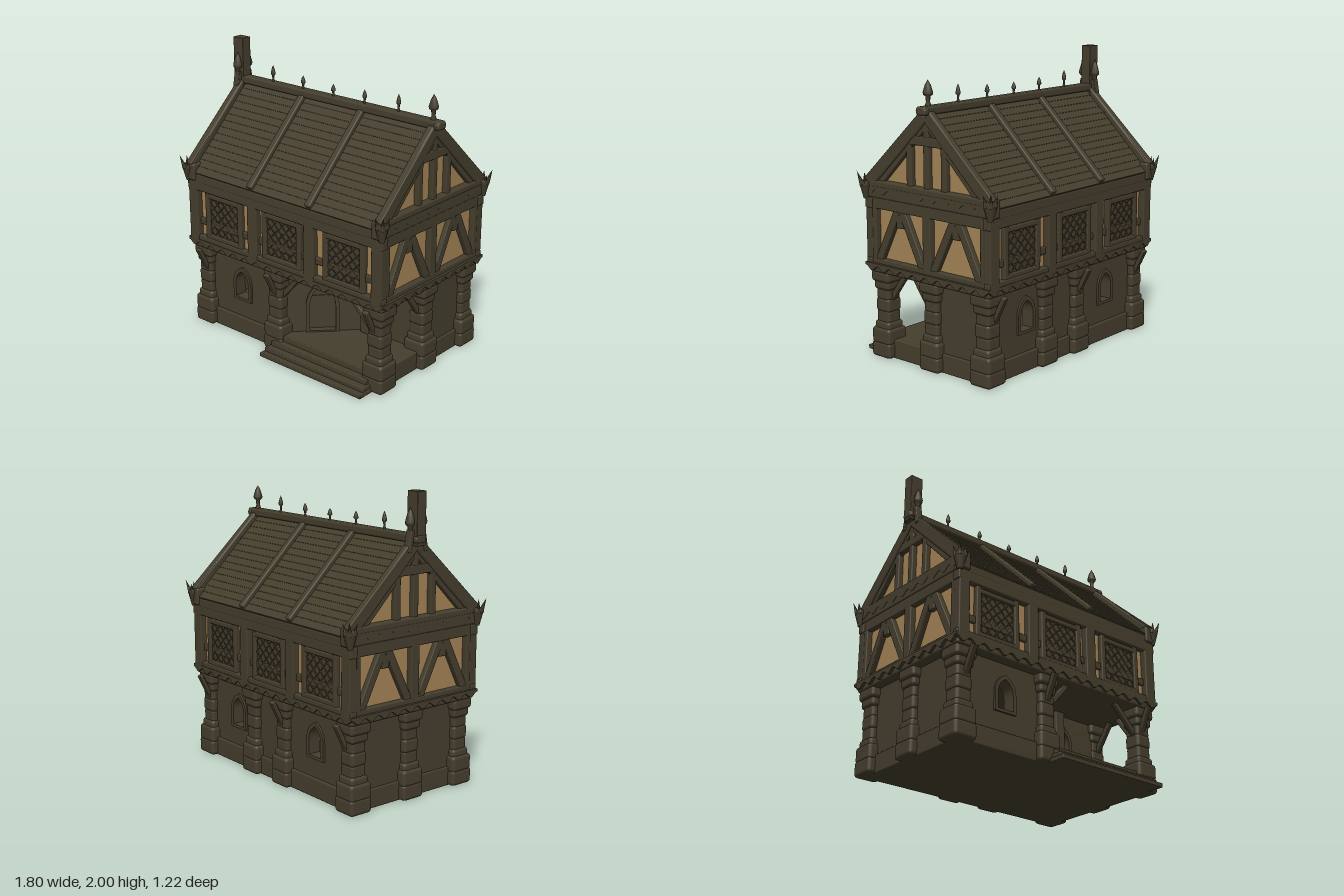
import * as THREE from 'three';
import { RoundedBoxGeometry } from 'three/addons/geometries/RoundedBoxGeometry.js';

const timber = new THREE.MeshStandardMaterial({ color: 0x453e2d });
timber.name = 'dark timber and stone';
const plaster = new THREE.MeshStandardMaterial({ color: 0xa48356 });
plaster.name = 'ochre plaster';

export function createModel() {
  const model = new THREE.Group();
  model.name = 'timberFramedHouse';
  const house = new THREE.Group();
  house.name = 'house';
  house.position.z = -0.025;
  model.add(house);

  const add = (name, geo, mat = timber, x = 0, y = 0, z = 0, parent = house) => {
    const m = new THREE.Mesh(geo, mat);
    m.name = name;
    m.position.set(x, y, z);
    parent.add(m);
    return m;
  };
  const box = (name, w, h, d, x, y, z, r = 0.008) =>
    add(name, new RoundedBoxGeometry(w, h, d, 2, Math.min(r, w / 2.1, h / 2.1, d / 2.1)), timber, x, y, z);
  // beam between two points; w runs along x, d along z before tilting
  const strut = (name, a, b, w, d, r = 0.006) => {
    const p = new THREE.Vector3(...a), q = new THREE.Vector3(...b);
    const dir = q.clone().sub(p), mid = p.clone().add(q).multiplyScalar(0.5);
    const m = box(name, w, dir.length(), d, mid.x, mid.y, mid.z, r);
    m.quaternion.setFromUnitVectors(new THREE.Vector3(0, 1, 0), dir.normalize());
    return m;
  };
  const extrude = (shape, depth) =>
    new THREE.ExtrudeGeometry(shape, { depth, bevelEnabled: false, curveSegments: 8 });
  const arch = (path, c, y, w, h) => {
    const s = y + h * 0.5;
    path.moveTo(c - w / 2, y);
    path.lineTo(c + w / 2, y);
    path.lineTo(c + w / 2, s);
    path.quadraticCurveTo(c + w / 2, y + h * 0.85, c, y + h);
    path.quadraticCurveTo(c - w / 2, y + h * 0.85, c - w / 2, s);
    path.closePath();
    return path;
  };
  // wall turned by an angle, with arched openings and raised surrounds
  const wall = (name, u0, u1, [x, z], angle, openings) => {
    const g = new THREE.Group();
    g.name = name;
    g.position.set(x, 0, z);
    g.rotation.y = angle;
    house.add(g);
    const s = new THREE.Shape([[u0, 0.02], [u1, 0.02], [u1, 0.6], [u0, 0.6]].map(p => new THREE.Vector2(...p)));
    for (const [c, y, w, h] of openings) {
      s.holes.push(arch(new THREE.Path(), c, y, w, h));
      const f = arch(new THREE.Shape(), c, y - 0.02, w + 0.05, h + 0.05);
      f.holes.push(arch(new THREE.Path(), c, y, w, h));
      add('archSurround', extrude(f, 0.09), timber, 0, 0, -0.045, g);
    }
    add('wallPanel', extrude(s, 0.06), timber, 0, 0, -0.03, g);
    return g;
  };

  // ground floor
  box('groundSlab', 1.62, 0.13, 0.96, 0, 0.065, 0);
  const win = x => [x, 0.28, 0.12, 0.2];
  wall('frontWall', -0.78, -0.1, [0, 0.43], 0, [win(-0.43)]);
  wall('backWall', -0.78, 0.78, [0, -0.43], 0, [win(-0.43), win(0.43)]);
  wall('leftEndWall', 0, 0.45, [0.765, 0], Math.PI / 2, []);
  wall('rightEndWall', -0.45, 0.45, [-0.765, 0], Math.PI / 2, []);
  wall('porchBackWall', 0.29, 0.78, [0, 0.02], 0, [win(0.43)]);
  // entrance set across the corner of the porch
  const entrance = wall('porchEntrance', -0.28, 0.28, [0.11, 0.24], Math.PI / 4, [[0, 0.14, 0.18, 0.34]]);
  add('porchDoor', extrude(arch(new THREE.Shape(), 0, 0.13, 0.19, 0.36), 0.02), timber, 0, 0, -0.03, entrance);
  for (const x of [-0.055, 0, 0.055])
    add('doorBoard', new THREE.BoxGeometry(0.045, 0.25, 0.01), timber, x, 0.26, -0.006, entrance);
  box('porchPost', 0.08, 0.46, 0.07, 0.375, 0.36, 0.07);

  // steps up to the porch
  [[0.89, 0.03, 0.64], [0.87, 0.058, 0.6], [0.84, 0.09, 0.55], [0.8, 0.13, 0.5]].forEach(([w, h, z]) =>
    box('porchStep', w, h, z - 0.3, 0.335, h / 2, (z + 0.3) / 2, 0.006));

  // stacked stone pillars: width, bottom, top
  const courses = [[0.172, 0, 0.11], [0.168, 0.09, 0.205], [0.14, 0.18, 0.25], [0.118, 0.23, 0.33],
    [0.124, 0.31, 0.41], [0.118, 0.39, 0.49], [0.14, 0.465, 0.54], [0.165, 0.52, 0.6]];
  const pillar = (x, z) => courses.forEach(([w, a, b]) =>
    box('pillarStone', w, b - a, w, x, (a + b) / 2, z, 0.024));
  for (const x of [-0.775, 0.775]) for (const z of [-0.44, 0, 0.44]) pillar(x, z);
  [[-0.1, 0.44], [-0.1, -0.44], [0.24, -0.44]].forEach(p => pillar(...p));

  // jetty brackets and porch braces
  for (const x of [-0.76, -0.1, 0.76]) for (const s of [-1, 1])
    strut('jettyBracket', [x, 0.41, s * 0.48], [x, 0.59, s * 0.57], 0.04, 0.03);
  for (const [x0, x1] of [[0.74, 0.55], [-0.07, 0.1]])
    strut('porchBrace', [x0, 0.4, 0.45], [x1, 0.59, 0.45], 0.035, 0.035);
  for (const [z0, z1] of [[0.4, 0.26], [0.04, 0.18]])
    strut('porchBrace', [0.78, 0.4, z0], [0.78, 0.59, z1], 0.035, 0.035);

  // upper storey plaster core with gable ends
  const core = new THREE.Shape([[-0.5, 0.64], [0.5, 0.64], [0.5, 1.14], [0, 1.63], [-0.5, 1.14]]
    .map(p => new THREE.Vector2(...p)));
  add('plasterCore', extrude(core, 1.64), plaster, -0.82).rotation.y = Math.PI / 2;
  box('jettyFloor', 1.72, 0.075, 1.06, 0, 0.625, 0, 0.015);

  // scalloped trim
  const scallop = (length, y, n) => {
    const pts = [new THREE.Vector2(length / 2, y + 0.035), new THREE.Vector2(-length / 2, y + 0.035)];
    for (let i = 0; i <= n * 8; i++)
      pts.push(new THREE.Vector2(length * (i / (n * 8) - 0.5), y + 0.016 * Math.cos(i * Math.PI / 4)));
    return extrude(new THREE.Shape(pts), 0.025);
  };
  for (const s of [-1, 1]) {
    add('longScallop', scallop(1.76, 0.618, 16), timber, 0, 0, s * 0.532 - 0.0125);
    add('endScallop', scallop(1.08, 0.618, 10), timber, s * 0.867 - 0.0125).rotation.y = Math.PI / 2;
    add('gableScallop', scallop(1.1, 1.135, 10), timber, s * 0.855 - 0.0125).rotation.y = Math.PI / 2;
  }

  // long sides: frames, posts and lattice windows
  for (const s of [-1, 1]) {
    const zf = s * 0.515;
    box('sillBeam', 1.74, 0.055, 0.05, 0, 0.657, zf);
    box('wallPlate', 1.74, 0.07, 0.06, 0, 1.055, zf);
    box('eaveBeam', 1.7, 0.06, 0.06, 0, 1.11, zf);
    for (const x of [-0.82, -0.255, 0.255, 0.82]) box('post', 0.085, 0.46, 0.06, x, 0.86, zf);
    for (const x of [-0.54, 0, 0.54]) {
      box('midRail', 0.54, 0.05, 0.03, x, 0.788, s * 0.503);
      box('windowPanel', 0.31, 0.36, 0.024, x, 0.85, s * 0.502, 0.004);
      for (const dx of [-0.155, 0.155]) box('windowJamb', 0.04, 0.36, 0.045, x + dx, 0.85, s * 0.51);
      for (const y of [0.695, 0.995]) box('windowRail', 0.35, 0.035, 0.045, x, y, s * 0.51);
      for (let i = 0; i < 4; i++) for (let j = 0; j < 4; j++)
        add('latticeDiamond', new THREE.TorusGeometry(0.034, 0.006, 4, 4), timber,
          x + (i - 1.5) * 0.068, 0.845 + (j - 1.5) * 0.068, s * 0.516);
    }
  }

  // ends: braces, gable frame and barge boards
  for (const s of [-1, 1]) {
    const xe = s * 0.83, sx = 0.06;
    box('endSill', sx, 0.055, 1.06, xe, 0.657, 0);
    box('endRail', sx, 0.1, 1.06, xe, 1.07, 0);
    box('tieBeam', 0.08, 0.12, 1.12, s * 0.825, 1.15, 0, 0.015);
    for (const z of [-0.495, 0, 0.495]) box('endPost', sx, 0.46, z ? 0.085 : 0.07, xe, 0.86, z);
    for (const c of [-0.245, 0.245]) {
      for (const k of [-1, 1])
        strut('endBrace', [xe, 0.66, c + k * 0.205], [xe, 1.04, c + k * 0.015], 0.05, 0.055);
      box('braceBoss', 0.05, 0.09, 0.06, xe, 0.96, c);
    }
    for (const z of [-0.15, 0, 0.15]) box('gablePost', 0.05, z ? 0.34 : 0.5, 0.046, xe, z ? 1.34 : 1.4, z);
    box('collarBeam', 0.055, 0.06, 0.34, xe, 1.507, 0);
    for (const k of [-1, 1]) {
      strut('bargeBoard', [s * 0.835, 1.165, k * 0.54], [s * 0.835, 1.675, k * 0.005], 0.055, 0.085, 0.015);
      strut('bargeCap', [s * 0.838, 1.2, k * 0.555], [s * 0.838, 1.71, k * 0.005], 0.05, 0.025);
      strut('gableRafter', [xe, 1.17, k * 0.46], [xe, 1.62, k * 0.01], 0.045, 0.055);
    }
  }

  // roof: overlapping boards, ribs and ridge
  const slope = (t, lift, k, x) => [x, 1.145 + 0.535 * t + lift * 0.72, k * (0.545 * (1 - t) + lift * 0.69)];
  for (const k of [-1, 1]) {
    strut('roofDeck', slope(0, -0.018, k, 0), slope(1, -0.018, k, 0), 1.66, 0.03);
    for (let i = 0; i < 14; i++)
      strut('roofBoard', slope(i / 14, 0.001, k, 0), slope((i + 1.15) / 14, -0.002, k, 0), 1.64, 0.012, 0.002);
    for (const x of [-0.26, 0.26])
      strut('roofRib', slope(0.01, 0.012, k, x), slope(1, 0.012, k, x), 0.05, 0.045, 0.01);
  }
  box('ridgeBeam', 1.8, 0.055, 0.075, 0, 1.703, 0, 0.015);
  for (const s of [-1, 1]) box('ridgeEnd', 0.05, 0.05, 0.09, s * 0.875, 1.7, 0, 0.02);

  // spear finials
  const finial = (x, z, y, h, r) => add('finial', new THREE.LatheGeometry(
    [[0.6, -0.1], [0.6, 0.1], [0.4, 0.2], [0.5, 0.4], [0.95, 0.46], [1, 0.55], [0.6, 0.8], [0, 1]]
      .map(([a, b]) => new THREE.Vector2(a * r, b * h)), 8), timber, x, y, z);
  [[-0.55, 0.12], [-0.27, 0.095], [0, 0.085], [0.27, 0.095], [0.55, 0.12]].forEach(([x, h]) =>
    finial(x, 0, 1.725, h, 0.016));
  finial(0.825, 0, 1.72, 0.175, 0.032);

  // chimney with flanking spires
  box('chimney', 0.092, 0.34, 0.075, -0.849, 1.83, 0, 0.004);
  for (const k of [-1, 1]) {
    finial(-0.845, k * 0.05, 1.7, 0.2, 0.032);
    strut('chimneyBrace', [-0.845, 1.62, k * 0.07], [-0.845, 1.76, k * 0.045], 0.05, 0.03);
  }

  // spiked crowns at the eave corners
  for (const sx of [-1, 1]) for (const sz of [-1, 1]) {
    const x = sx * 0.86, z = sz * 0.54;
    add('crownCorbel', new THREE.CylinderGeometry(0.042, 0.018, 0.09, 8), timber, x, 1.125, z);
    box('crownBlock', 0.07, 0.04, 0.07, x, 1.18, z, 0.012);
    for (const [dx, dz, h] of [[1, 1, 0.095], [1, -0.6, 0.075], [-0.6, 1, 0.075]]) {
      const spike = add('crownSpike', new THREE.ConeGeometry(0.018, h, 6), timber,
        x + sx * dx * 0.03, 1.17 + h / 2, z + sz * dz * 0.03);
      spike.rotation.set(sz * dz * 0.25, 0, -sx * dx * 0.25);
    }
  }
  return model;
}
